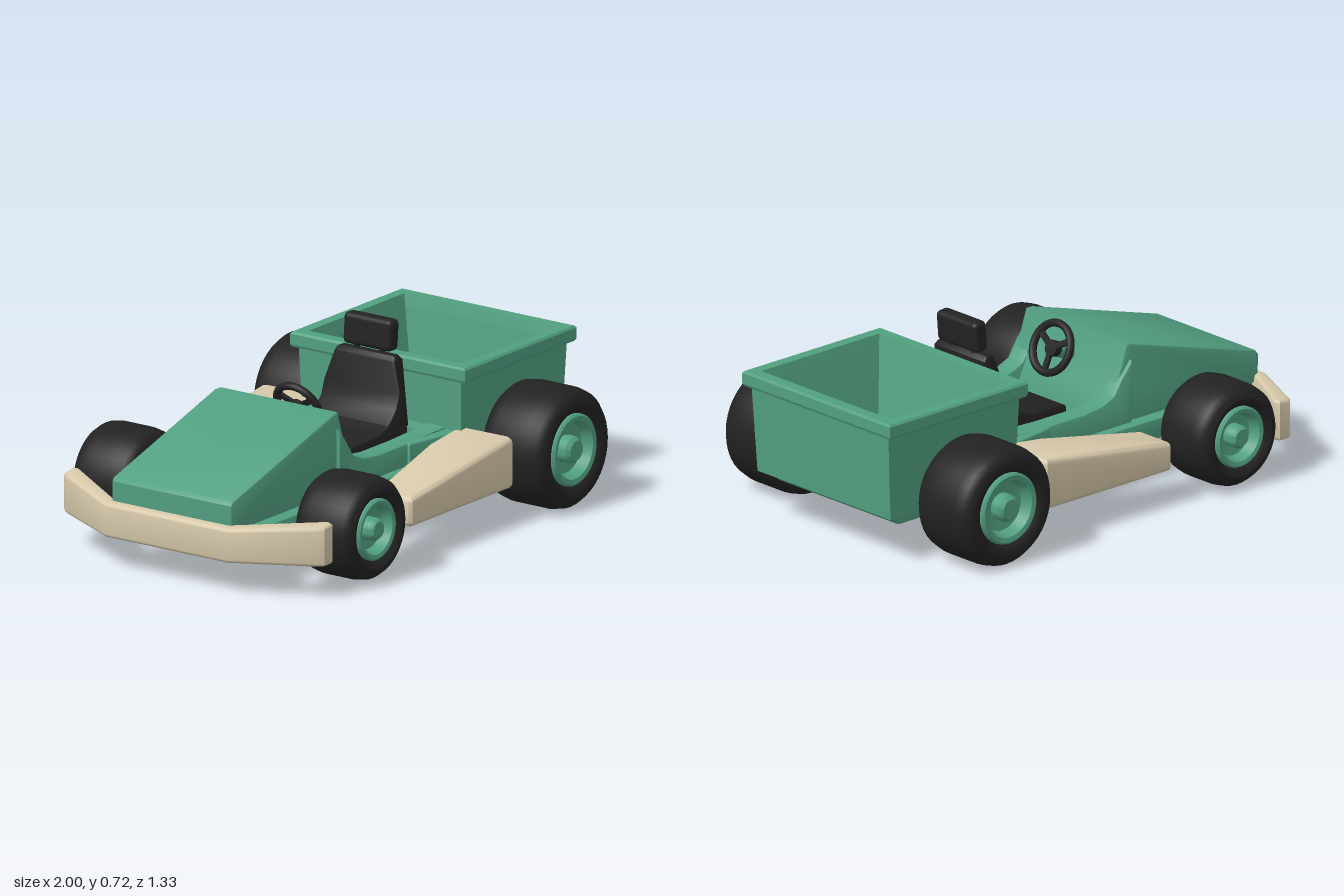
import * as THREE from 'three';
import { toCreasedNormals } from 'three/addons/utils/BufferGeometryUtils.js';
import { RoundedBoxGeometry } from 'three/addons/geometries/RoundedBoxGeometry.js';

const paint = new THREE.MeshStandardMaterial({ color: 0x52a081 });
const cream = new THREE.MeshStandardMaterial({ color: 0xd6c8aa });
const rubber = new THREE.MeshStandardMaterial({ color: 0x222223 });
paint.name = 'green paint';
cream.name = 'cream plastic';
rubber.name = 'black rubber';

function add(parent, name, geometry, material, x = 0, y = 0, z = 0) {
  const mesh = new THREE.Mesh(geometry, material);
  mesh.name = name;
  mesh.position.set(x, y, z);
  parent.add(mesh);
  return mesh;
}

const shapeOf = (points) => new THREE.Shape(points.map(([x, y]) => new THREE.Vector2(x, y)));

function bevelled(points, depth, bevel, segments) {
  return new THREE.ExtrudeGeometry(shapeOf(points), {
    depth: depth - 2 * bevel, bevelThickness: bevel, bevelSize: bevel,
    bevelOffset: -bevel, bevelSegments: segments, curveSegments: 8,
  }).translate(0, 0, bevel);
}

// Side outline (x, y) extruded from z0 to z1
function sideSlab(points, z0, z1, bevel = 0.01) {
  return toCreasedNormals(bevelled(points, z1 - z0, bevel, 2).translate(0, 0, z0), 0.6);
}

// Plan outline (x, z) standing on y = base, with a top height that follows x
function planBlock(points, base, topAt, bevel) {
  const h = 0.12;
  const g = bevelled(points, h, bevel, 3).rotateX(Math.PI / 2).translate(0, h, 0);
  const p = g.attributes.position;
  for (let i = 0; i < p.count; i++) {
    const y = p.getY(i);
    p.setY(i, y > h / 2 ? y - h + topAt(p.getX(i)) : y + base);
  }
  g.computeVertexNormals();
  return toCreasedNormals(g, 0.6);
}

// Skin through rectangular loops [x0, x1, half width, y], capped at both ends
function rectLoft(loops) {
  const pos = [];
  const ring = ([x0, x1, w, y]) => [[x0, y, w], [x1, y, w], [x1, y, -w], [x0, y, -w]];
  const quad = (a, b, c, d) => pos.push(...a, ...b, ...c, ...a, ...c, ...d);
  for (let i = 0; i < loops.length - 1; i++) {
    const lo = ring(loops[i]), hi = ring(loops[i + 1]);
    for (let k = 0; k < 4; k++) quad(lo[k], lo[(k + 1) % 4], hi[(k + 1) % 4], hi[k]);
  }
  const first = ring(loops[0]), last = ring(loops[loops.length - 1]);
  quad(first[3], first[2], first[1], first[0]);
  quad(...last);
  const g = new THREE.BufferGeometry();
  g.setAttribute('position', new THREE.Float32BufferAttribute(pos, 3));
  g.computeVertexNormals();
  return g;
}

function lathe(points) {
  const g = new THREE.LatheGeometry(points.map(([r, y]) => new THREE.Vector2(r, y)), 40);
  return toCreasedNormals(g.rotateX(Math.PI / 2), 0.7);
}

// Wheel whose outer face looks along +z
function makeWheel(name, r, w, hub) {
  const wheel = new THREE.Group();
  wheel.name = name;
  const h = w / 2;
  add(wheel, 'tyre', lathe([
    [hub, -h + 0.025], [hub + 0.015, -h + 0.008], [r * 0.76, -h], [r * 0.88, -h + 0.008],
    [r * 0.965, -h + 0.03], [r, -h + 0.07], [r, h - 0.07], [r * 0.965, h - 0.03],
    [r * 0.88, h - 0.008], [r * 0.76, h], [hub + 0.015, h - 0.008], [hub, h - 0.025],
  ]), rubber);
  add(wheel, 'rim', lathe([
    [0, -h - 0.01], [hub * 0.95, -h - 0.01], [hub + 0.002, -h + 0.01], [hub + 0.002, h - 0.012],
    [hub * 0.95, h - 0.004], [hub * 0.82, h - 0.008], [hub * 0.7, h - 0.05],
    [hub * 0.38, h - 0.055], [hub * 0.38, h - 0.015], [hub * 0.28, h], [0, h],
  ]), paint);
  return wheel;
}

export function createModel() {
  const kart = new THREE.Group();
  kart.name = 'utilityKart';

  // Chassis pan
  add(kart, 'floorPan', sideSlab([
    [-0.88, 0.19], [-0.8, 0.165], [0.4, 0.145], [0.88, 0.145], [0.95, 0.2], [0.95, 0.24], [-0.88, 0.24],
  ], -0.33, 0.33), paint);

  // Wedge hood, slightly wider toward the cockpit
  const hood = sideSlab([
    [-0.965, 0.25], [-0.9, 0.2], [-0.2, 0.18], [-0.21, 0.3], [-0.245, 0.37], [-0.275, 0.45],
    [-0.305, 0.54], [-0.33, 0.54], [-0.955, 0.355], [-0.968, 0.34],
  ], -0.275, 0.275, 0.012);
  add(kart, 'hood', hood, paint);

  // Cockpit sills and the bulkhead behind the seat
  for (const side of [1, -1]) {
    const z = side > 0 ? 0.205 : -0.29;
    add(kart, 'cockpitSill', sideSlab([
      [-0.32, 0.2], [0.36, 0.2], [0.36, 0.335], [0.1, 0.325], [-0.08, 0.325],
      [-0.17, 0.335], [-0.23, 0.36], [-0.27, 0.42], [-0.32, 0.48],
    ], z, z + 0.085), paint);
    const flare = [[0.1, 0.27], [0.36, 0.27], [0.36, 0.36], [0.27, 0.33], [0.1, 0.3]];
    const plan = flare.map(([x, y]) => [x, y * side]);
    add(kart, 'sillFlare', planBlock(plan, 0.2, () => 0.325, 0.008), paint);
  }
  add(kart, 'bulkhead', new THREE.BoxGeometry(0.14, 0.15, 0.58), paint, 0.32, 0.255, 0);

  // Cargo bin with a thick rim and hollow tray
  add(kart, 'cargoBin', rectLoft([
    [0.335, 0.955, 0.36, 0.19], [0.32, 0.975, 0.37, 0.52], [0.31, 0.99, 0.395, 0.522],
    [0.305, 0.995, 0.4, 0.532], [0.305, 0.995, 0.4, 0.572], [0.312, 0.988, 0.393, 0.58],
    [0.355, 0.945, 0.35, 0.58], [0.365, 0.935, 0.34, 0.54], [0.42, 0.895, 0.285, 0.3],
  ]), paint);

  // Swept front bumper
  add(kart, 'frontBumper', planBlock([
    [-1, -0.28], [-0.845, -0.575], [-0.825, -0.595], [-0.775, -0.595], [-0.765, -0.57], [-0.945, -0.27],
    [-0.945, 0.27], [-0.765, 0.57], [-0.775, 0.595], [-0.825, 0.595], [-0.845, 0.575], [-1, 0.28],
  ], 0.13, (x) => 0.26 + (x + 1) * 0.13, 0.014), cream);

  // Side pods, rising and widening to the rear
  for (const side of [1, -1]) {
    const plan = [[-0.26, 0.4], [0.18, 0.325], [0.375, 0.325], [0.38, 0.55], [0.365, 0.572], [-0.25, 0.572], [-0.26, 0.56]];
    add(kart, 'sidePod', planBlock(plan.map(([x, z]) => [x, z * side]), 0.138,
      (x) => 0.25 + Math.min(1, (x + 0.26) / 0.6) * 0.085, 0.02), cream);
  }

  // Seat: one curved side outline, narrowing up the backrest
  const seat = sideSlab([
    [-0.1, 0.24], [-0.1, 0.325], [-0.08, 0.335], [0.08, 0.34], [0.14, 0.36], [0.185, 0.41], [0.207, 0.47],
    [0.222, 0.58], [0.235, 0.597], [0.265, 0.597], [0.28, 0.58], [0.28, 0.24],
  ].reverse(), -0.175, 0.175, 0.014);
  const sp = seat.attributes.position;
  for (let i = 0; i < sp.count; i++) {
    const t = Math.max(0, (sp.getY(i) - 0.48) / 0.12);
    sp.setZ(i, sp.getZ(i) * (1 - 0.25 * t));
  }
  add(kart, 'seat', seat, rubber);
  const headrest = add(kart, 'headrest', new RoundedBoxGeometry(0.062, 0.12, 0.22, 3, 0.02), rubber, 0.266, 0.665, 0);
  headrest.rotation.z = -0.08;
  for (const z of [-0.06, 0.06])
    add(kart, 'headrestPost', new THREE.CylinderGeometry(0.012, 0.012, 0.06, 10), rubber, 0.258, 0.6, z);

  // Steering wheel on its column; local +x runs along the column
  const steering = new THREE.Group();
  steering.name = 'steering';
  steering.position.set(-0.183, 0.485, 0);
  steering.rotation.z = 0.42;
  kart.add(steering);
  add(steering, 'steeringRim', new THREE.TorusGeometry(0.094, 0.015, 10, 32).rotateY(Math.PI / 2), rubber);
  add(steering, 'steeringHub', new THREE.CylinderGeometry(0.03, 0.03, 0.03, 16).rotateZ(Math.PI / 2), rubber, -0.01);
  for (let i = 0; i < 3; i++) {
    const spoke = new THREE.BoxGeometry(0.012, 0.09, 0.022).translate(0, -0.045, 0).rotateX(i * Math.PI * 2 / 3);
    add(steering, 'steeringSpoke', spoke, rubber);
  }
  add(steering, 'steeringColumn', new THREE.CylinderGeometry(0.028, 0.028, 0.13, 16).rotateZ(Math.PI / 2), paint, -0.08);

  // Axles and wheels
  const axles = [
    { name: 'front', x: -0.547, y: 0.213, r: 0.197, w: 0.26, z: 0.508, hub: 0.115 },
    { name: 'rear', x: 0.635, y: 0.235, r: 0.23, w: 0.29, z: 0.522, hub: 0.135 },
  ];
  for (const a of axles) {
    add(kart, a.name + 'Axle', new THREE.CylinderGeometry(0.028, 0.028, a.z * 2 - 0.2, 16).rotateX(Math.PI / 2), paint, a.x, a.y, 0);
    for (const side of [1, -1]) {
      const wheel = makeWheel(a.name + 'Wheel', a.r, a.w, a.hub);
      wheel.position.set(a.x, a.y, a.z * side);
      if (side < 0) wheel.rotation.y = Math.PI;
      kart.add(wheel);
    }
  }
  return kart;
}
